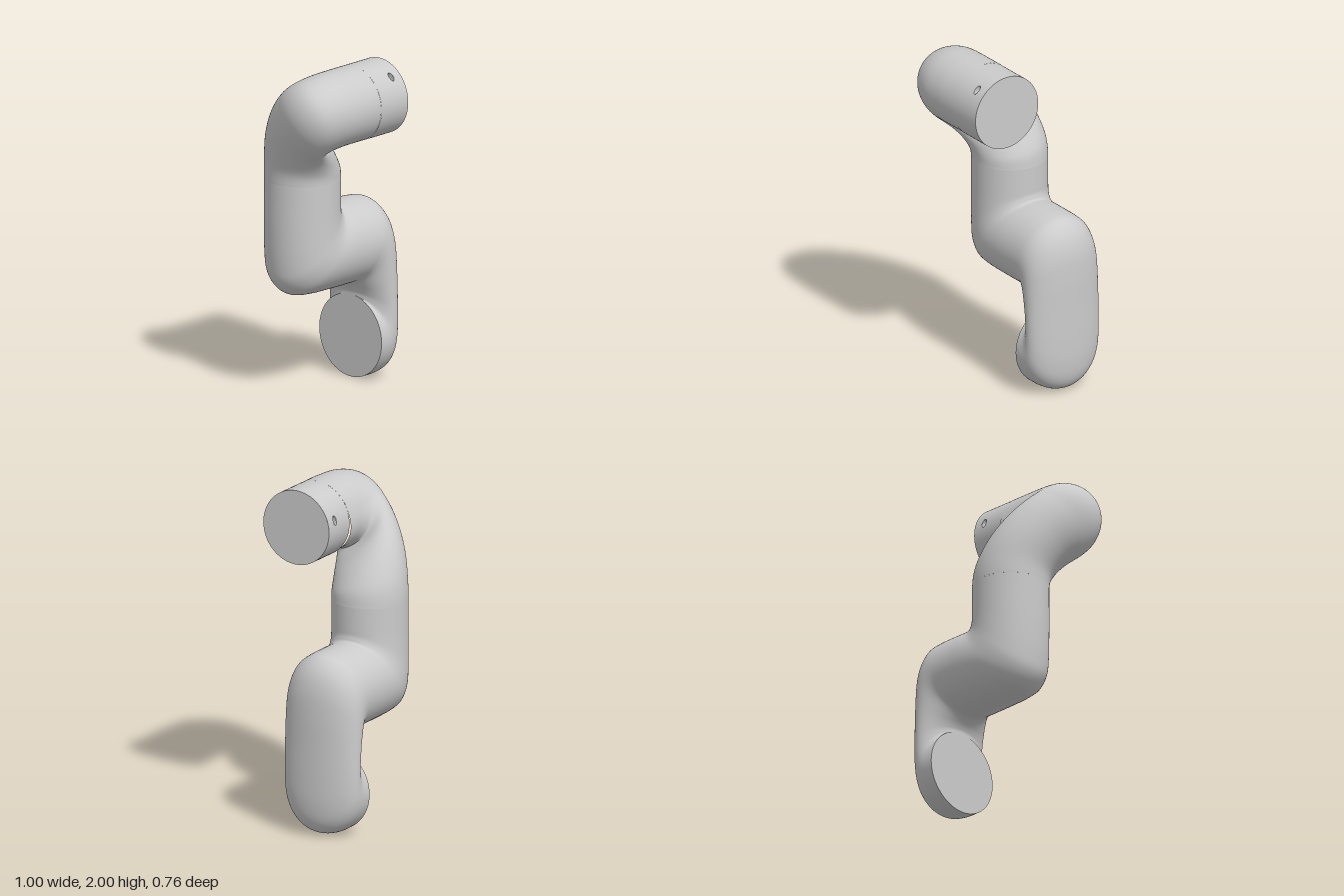
import * as THREE from 'three';

const material = new THREE.MeshStandardMaterial({ color: 0xcccccc });
const doubleSided = new THREE.MeshStandardMaterial({ color: 0xcccccc, side: THREE.DoubleSide });
const AXIS_Z = -0.125;              // depth of the lower links
const SLEEVE = { r: 0.225, y: 1.775, z: 0.156, length: 0.225 };

function addMesh(parent, name, geometry, mat = material) {
  const mesh = new THREE.Mesh(geometry, mat);
  mesh.name = name;
  parent.add(mesh);
  return mesh;
}

// Loft of elliptical rings. Each row holds two opposite ring points [ax, ay, bx, by];
// the third axis has half width halfWidth(t), and place() maps the result into space.
function loftElbow(rows, steps, halfWidth, place) {
  const sideA = new THREE.SplineCurve(rows.map(r => new THREE.Vector2(r[0], r[1])));
  const sideB = new THREE.SplineCurve(rows.map(r => new THREE.Vector2(r[2], r[3])));
  const around = 72, positions = [], index = [];
  for (let i = 0; i <= steps; i++) {
    const t = i / steps, a = sideA.getPoint(t), b = sideB.getPoint(t), w = halfWidth(t);
    for (let j = 0; j < around; j++) {
      const angle = (j / around) * Math.PI * 2, k = (1 + Math.cos(angle)) / 2;
      positions.push(...place(b.x + (a.x - b.x) * k, b.y + (a.y - b.y) * k, w * Math.sin(angle)));
      if (i < steps) {
        const p = i * around + j, q = i * around + (j + 1) % around;
        index.push(p, q, p + around, q, q + around, p + around);
      }
    }
  }
  const geometry = new THREE.BufferGeometry();
  geometry.setAttribute('position', new THREE.Float32BufferAttribute(positions, 3));
  geometry.setIndex(index);
  geometry.computeVertexNormals();
  return geometry;
}

// Curls the upper arm forward: straight below, then an arc, then straight again.
function curlForward(x, s, w) {
  const R = 0.516, maxAngle = 0.873;
  const angle = THREE.MathUtils.clamp(s / R, 0, maxAngle), rest = s - angle * R;
  const sin = Math.sin(angle), cos = Math.cos(angle);
  return [x, 1.3 + R * sin + rest * cos - w * sin, AXIS_Z + R * (1 - cos) + rest * sin + w * cos];
}

// Part of the sleeve wall with an oval hole, wrapped round the axis at angle theta.
function holedPanel(theta, halfArc, hole) {
  const { r, length } = SLEEVE, n = 8, points = [];
  for (let i = 0; i <= n; i++) points.push(new THREE.Vector2(r * halfArc * (2 * i / n - 1), 0));
  for (let i = n; i >= 0; i--) points.push(new THREE.Vector2(r * halfArc * (2 * i / n - 1), length));
  const shape = new THREE.Shape(points);
  shape.holes.push(new THREE.Path().absellipse(0, hole.y, hole.rx, hole.ry, 0, Math.PI * 2, true));
  const geometry = new THREE.ShapeGeometry(shape, 16);
  const pos = geometry.attributes.position, normal = geometry.attributes.normal;
  for (let i = 0; i < pos.count; i++) {
    const a = theta + pos.getX(i) / r;
    pos.setXYZ(i, r * Math.sin(a), pos.getY(i), r * Math.cos(a));
    normal.setXYZ(i, Math.sin(a), 0, Math.cos(a));
  }
  return geometry;
}

// Straight end sleeve, built upright and laid along x.
function createSleeve() {
  const { r, length } = SLEEVE, rad = THREE.MathUtils.degToRad;
  const sleeve = new THREE.Group();
  sleeve.name = 'endSleeve';
  const hole = { y: 0.15, rx: 0.029, ry: 0.016, depth: 0.05 };

  for (const [start, sweep] of [[-155, 100], [-35, 220]]) {
    const wall = new THREE.CylinderGeometry(r, r, length, Math.round(sweep / 5), 1, true, rad(start), rad(sweep));
    addMesh(sleeve, 'sleeveWall', wall.translate(0, length / 2, 0));
  }
  for (const degrees of [-45, -165]) {
    addMesh(sleeve, 'holePanel', holedPanel(rad(degrees), rad(10), hole));
    const bore = new THREE.CylinderGeometry(1, 1, hole.depth, 32, 1, true);
    bore.rotateX(Math.PI / 2).scale(hole.rx, hole.ry, 1);
    bore.translate(0, hole.y, r - hole.depth / 2 - 0.001).rotateY(rad(degrees));
    addMesh(sleeve, 'holeBore', bore, doubleSided);
    const floor = new THREE.CircleGeometry(1, 32).scale(hole.rx, hole.ry, 1);
    floor.translate(0, hole.y, r - hole.depth).rotateY(rad(degrees));
    addMesh(sleeve, 'holeFloor', floor);
  }
  const cap = new THREE.CircleGeometry(r, 72).rotateX(-Math.PI / 2).translate(0, length, 0);
  addMesh(sleeve, 'sleeveCap', cap);

  sleeve.rotation.z = -Math.PI / 2;
  sleeve.position.set(0, SLEEVE.y, SLEEVE.z);
  return sleeve;
}

export function createModel() {
  const model = new THREE.Group();
  model.name = 'jointedArm';

  // Base turn, cross link and upright
  const lowerRows = [
    [0.27, 0.5, 0.27, 0], [0.27, 0.5, 0.36, 0.002], [0.27, 0.5, 0.43, 0.025],
    [0.27, 0.5, 0.475, 0.09], [0.27, 0.505, 0.495, 0.2], [0.268, 0.52, 0.5, 0.35],
    [0.255, 0.545, 0.5, 0.55], [0.235, 0.57, 0.5, 0.74], [0.22, 0.583, 0.49, 0.89],
    [0.21, 0.588, 0.455, 1.0], [0.2, 0.59, 0.39, 1.07], [0.19, 0.59, 0.31, 1.087],
    [0.17, 0.59, 0.2, 1.09], [0.12, 0.59, 0.14, 1.09], [0, 0.591, 0.115, 1.09],
    [-0.15, 0.595, 0.11, 1.091], [-0.26, 0.615, 0.1, 1.097], [-0.33, 0.69, 0.095, 1.11],
    [-0.352, 0.8, 0.09, 1.13], [-0.36, 1.0, 0.09, 1.16], [-0.36, 1.2, 0.09, 1.22],
    [-0.36, 1.3, 0.09, 1.3],
  ];
  const lowerWidth = t => 0.25 - 0.026 * THREE.MathUtils.smoothstep(t, 0.65, 0.92);
  addMesh(model, 'lowerArm', loftElbow(lowerRows, 126, lowerWidth, (x, y, w) => [x, y, AXIS_Z + w]));

  // Flat end of the base turn
  const baseCap = addMesh(model, 'baseCap', new THREE.CircleGeometry(0.25, 72));
  baseCap.rotation.y = -Math.PI / 2;
  baseCap.position.set(0.27, 0.25, AXIS_Z);

  // Upper elbow, curling forward and turning into the sleeve
  const upperRows = [
    [-0.36, 0, 0.09, 0], [-0.37, 0.1, 0.075, 0.09], [-0.42, 0.26, 0.01, 0.2],
    [-0.47, 0.42, -0.07, 0.28], [-0.5, 0.56, -0.13, 0.32], [-0.485, 0.67, -0.15, 0.335],
    [-0.43, 0.745, -0.14, 0.343], [-0.32, 0.788, -0.11, 0.349], [-0.18, 0.799, -0.08, 0.35],
    [-0.08, 0.8, -0.04, 0.35], [0, 0.8, 0, 0.35],
  ];
  addMesh(model, 'upperElbow', loftElbow(upperRows, 80, () => 0.2245, curlForward));

  model.add(createSleeve());
  return model;
}
